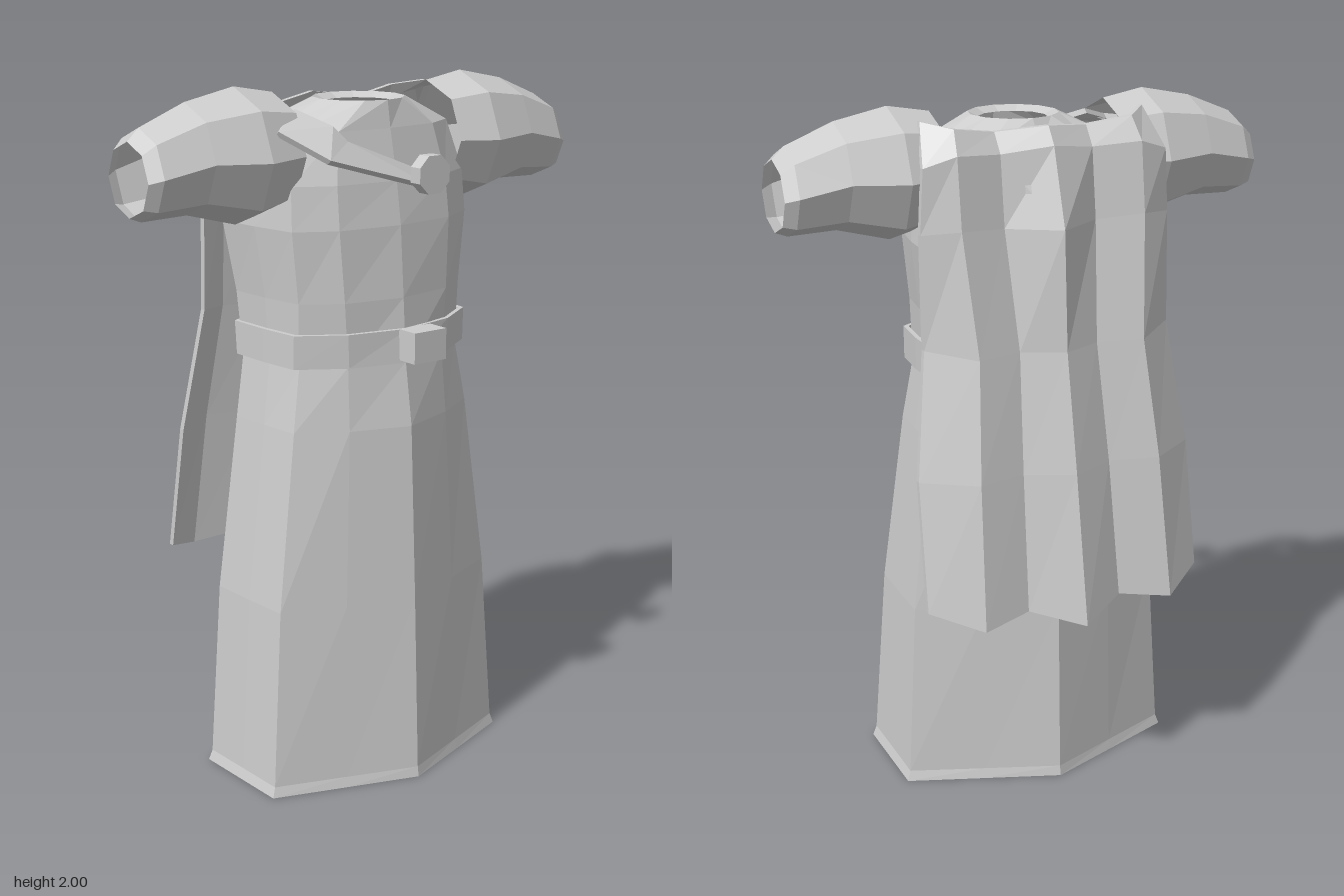
import * as THREE from 'three';

const cloth = new THREE.MeshStandardMaterial({ color: 0xcccccc, flatShading: true, side: THREE.DoubleSide });
cloth.name = 'pale grey cloth';

function add(group, name, geometry) {
  const mesh = new THREE.Mesh(geometry, cloth);
  mesh.name = name;
  group.add(mesh);
  return mesh;
}

// Skin a list of closed rings of [x, y, z] points; capped closes flat slab ends.
function loft(rings, capped = false) {
  const n = rings[0].length, index = [];
  const quad = (a, b, c, d) => index.push(a, b, c, a, c, d);
  for (let i = 0; i < rings.length - 1; i++) {
    for (let k = 0; k < n; k++) {
      const l = (k + 1) % n;
      quad(i * n + k, i * n + l, (i + 1) * n + l, (i + 1) * n + k);
    }
  }
  if (capped) {
    const top = (rings.length - 1) * n;
    for (let k = 0; k < n / 2 - 1; k++) {
      quad(n - 1 - k, n - 2 - k, k + 1, k);
      quad(top + k, top + k + 1, top + n - 2 - k, top + n - 1 - k);
    }
  }
  const geometry = new THREE.BufferGeometry();
  geometry.setAttribute('position', new THREE.Float32BufferAttribute(rings.flat(2), 3));
  geometry.setIndex(index);
  const flat = geometry.toNonIndexed();
  flat.computeVertexNormals();
  return flat;
}

// Give a sheet of point rows some thickness along an offset.
function slab(rows, [ox, oy, oz]) {
  return loft(rows.map(row => [
    ...row,
    ...row.map(([x, y, z]) => [x + ox, y + oy, z + oz]).reverse(),
  ]), true);
}

// Twelve-sided robe section: front, front corner, back corner, back, and bulge.
function section([y, front, xf, zf, xb, zb, back, bulge], grow = 0) {
  const half = [
    [0, front + grow],
    [xf * (0.5 + bulge), (front + zf) / 2 + bulge * 0.15 + grow],
    [xf + grow, zf + grow * 0.5],
    [(xf + xb) / 2 + bulge * 0.05 + grow, (zf + zb) / 2],
    [xb + grow, zb - grow * 0.5],
    [xb * (0.5 + bulge), (back + zb) / 2 - bulge * 0.15 - grow],
    [0, back - grow],
  ];
  const other = half.slice(1, 6).reverse().map(([x, z]) => [-x, z]);
  return [...half, ...other].map(([x, z]) => [x, y, z]);
}

function circle(y, radius) {
  return Array.from({ length: 12 }, (_, k) => {
    const a = k * Math.PI / 6;
    return [Math.sin(a) * radius, y, 0.095 + Math.cos(a) * radius];
  });
}

export function createModel() {
  const model = new THREE.Group();
  model.name = 'robe';

  // Robe, hem to shoulders, then the turned-in neckline
  const robe = [
    [0.00, 0.395, 0.42, 0.25, 0.43, -0.07, -0.235, 0],
    [0.03, 0.39, 0.41, 0.245, 0.42, -0.065, -0.23, 0],
    [0.55, 0.368, 0.375, 0.23, 0.39, -0.055, -0.215, 0.02],
    [1.06, 0.343, 0.31, 0.21, 0.33, -0.04, -0.175, 0.06],
    [1.24, 0.315, 0.28, 0.195, 0.305, -0.04, -0.14, 0.1],
    [1.42, 0.302, 0.285, 0.2, 0.315, -0.055, -0.13, 0.13],
    [1.62, 0.287, 0.305, 0.2, 0.345, -0.075, -0.13, 0.13],
    [1.74, 0.268, 0.3, 0.19, 0.33, -0.07, -0.12, 0.13],
    [1.88, 0.238, 0.26, 0.165, 0.27, -0.03, -0.085, 0.13],
  ].map(row => section(row));
  add(model, 'robe body', loft([...robe, circle(1.955, 0.13), circle(1.94, 0.1)]));

  // Belt and buckle
  const low = [1.24, 0.313, 0.29, 0.195, 0.308, -0.04, -0.14, 0.1];
  const high = [1.335, 0.308, 0.29, 0.197, 0.308, -0.048, -0.135, 0.115];
  add(model, 'belt', loft([
    section(low), section(low, 0.014), section(high, 0.014), section(high),
  ]));
  add(model, 'buckle', new THREE.BoxGeometry(0.112, 0.088, 0.07)).position.set(0.03, 1.293, 0.35);

  // Eight-sided sleeves: [x, centre height, radius]
  const sleeve = [
    [0.27, 1.822, 0.158], [0.395, 1.817, 0.185], [0.55, 1.822, 0.149],
    [0.69, 1.792, 0.123], [0.725, 1.782, 0.1],
  ];
  for (const side of [1, -1]) {
    const rings = sleeve.map(([x, y, r]) => Array.from({ length: 8 }, (_, k) => {
      const a = k * Math.PI / 4;
      return [x * side, y + Math.cos(a) * r, 0.063 + Math.sin(a) * r];
    }));
    if (side < 0) rings.reverse();
    add(model, side > 0 ? 'left sleeve' : 'right sleeve', loft(rings));
  }

  // Pleated cape: half rows from the outer edge to the centre fold
  const cape = [
    [[0.43, 0.63, -0.26], [0.295, 0.585, -0.355], [0.145, 0.605, -0.315], [0, 0.565, -0.4]],
    [[0.425, 1.0, -0.195], [0.28, 1.0, -0.295], [0.135, 1.0, -0.26], [0, 1.0, -0.325]],
    [[0.38, 1.36, -0.14], [0.255, 1.34, -0.235], [0.12, 1.34, -0.205], [0, 1.34, -0.26]],
    [[0.38, 1.68, -0.13], [0.28, 1.69, -0.18], [0.14, 1.68, -0.15], [0, 1.68, -0.24]],
    [[0.37, 1.86, -0.13], [0.28, 1.89, -0.155], [0.14, 1.88, -0.125], [0, 1.9, -0.17]],
    [[0.34, 1.97, -0.04], [0.27, 1.955, -0.11], [0.14, 1.935, -0.085], [0, 1.95, -0.135]],
  ].map(half => [...half, ...half.slice(0, 3).reverse().map(([x, y, z]) => [-x, y, z])]);
  add(model, 'cape', slab(cape, [0, 0, 0.018]));

  // Shoulder strap folding forward to the brooch
  add(model, 'shoulder strap', slab([
    [[-0.23, 1.95, -0.02], [-0.27, 1.945, -0.02]],
    [[-0.25, 1.94, 0.14], [-0.285, 1.925, 0.15]],
    [[-0.2, 1.9, 0.245], [-0.36, 1.895, 0.22]],
    [[-0.17, 1.86, 0.27], [-0.275, 1.825, 0.335]],
    [[0.06, 1.765, 0.315], [0.06, 1.73, 0.335]],
  ], [0, -0.012, -0.015]));
  const brooch = add(model, 'brooch', new THREE.CylinderGeometry(0.056, 0.056, 0.04, 8));
  brooch.rotation.set(Math.PI / 2, Math.PI / 8, 0);
  brooch.position.set(0.043, 1.765, 0.358);

  return model;
}
